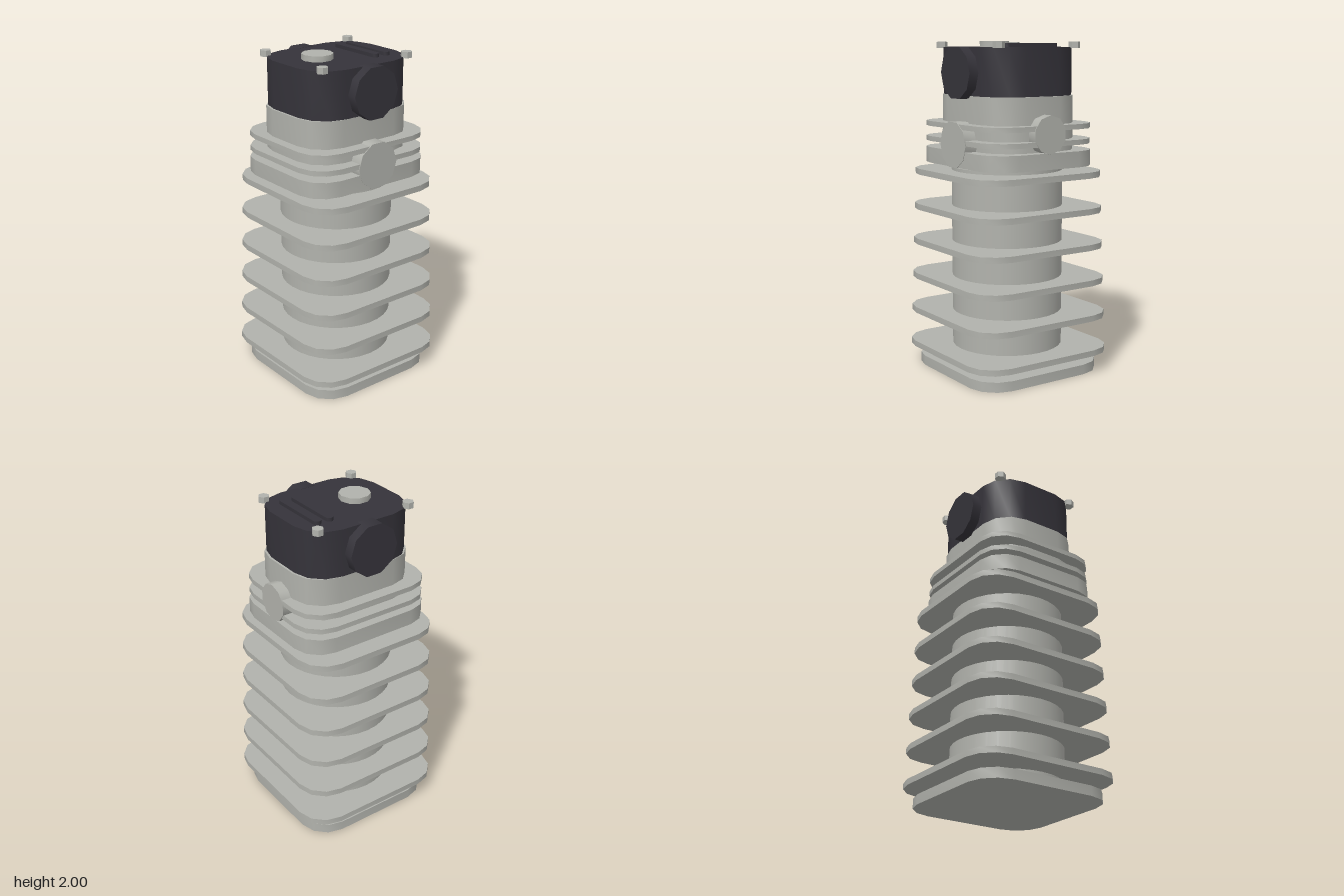
import * as THREE from 'three';
import { toCreasedNormals } from 'three/addons/utils/BufferGeometryUtils.js';

const metal = new THREE.MeshStandardMaterial({ color: 0xb1b2ac });
metal.name = 'light grey metal';
const dark = new THREE.MeshStandardMaterial({ color: 0x35333a });
dark.name = 'dark cover';

export function createModel() {
  const model = new THREE.Group();

  function add(name, geometry, material, x = 0, y = 0, z = 0) {
    const mesh = new THREE.Mesh(geometry, material);
    mesh.name = name;
    mesh.position.set(x, y, z);
    model.add(mesh);
    return mesh;
  }

  // Flat slab with rounded corners, lying between heights y0 and y1
  function slab(name, material, hw, hd, r, y0, y1, x = 0, steps = 3) {
    const pts = [];
    const corners = [[1, 1], [-1, 1], [-1, -1], [1, -1]];
    corners.forEach(([sx, sy], q) => {
      for (let i = 0; i <= steps; i++) {
        const a = (q + i / steps) * Math.PI / 2;
        pts.push(new THREE.Vector2(sx * (hw - r) + r * Math.cos(a), sy * (hd - r) + r * Math.sin(a)));
      }
    });
    const g = new THREE.ExtrudeGeometry(new THREE.Shape(pts), { depth: y1 - y0, bevelEnabled: false });
    g.rotateX(-Math.PI / 2);
    return add(name, toCreasedNormals(g, 0.7), material, x, y0, 0);
  }

  // Ten-sided disc, first corner pointing along +x when upright
  function disc(r, length) {
    return toCreasedNormals(new THREE.CylinderGeometry(r, r, length, 10).rotateY(Math.PI / 2), 0.75);
  }

  // Cylinder barrel with tapering stack of cooling fins
  slab('basePlate', metal, 0.441, 0.441, 0.18, 0, 0.06);
  add('barrel', new THREE.CylinderGeometry(0.337, 0.337, 1.195, 32), metal, 0, 0.6575, 0);
  for (let i = 0; i < 6; i++) {
    const h = 0.485 - i * 0.006;
    const y = 0.118 + i * 0.2162;
    slab('barrelFin', metal, h, h, 0.18, y, y + 0.036);
  }

  // Cylinder head with two fins
  slab('headBase', metal, 0.437, 0.384, 0.17, 1.27, 1.365);
  slab('headBody', metal, 0.374, 0.308, 0.19, 1.365, 1.685);
  for (const y of [1.402, 1.493]) slab('headFin', metal, 0.434, 0.382, 0.17, y, y + 0.03);

  // Exhaust boss on the front, intake port on the left
  add('frontPort', disc(0.14, 0.137).rotateX(Math.PI / 2), metal, 0, 1.4, 0.3185);
  add('sidePort', disc(0.113, 0.14).rotateZ(-Math.PI / 2), metal, 0.3685, 1.47, 0);

  // Dark valve cover with round caps on both ends
  slab('valveCover', dark, 0.361, 0.307, 0.19, 1.685, 1.966);
  for (const s of [-1, 1]) {
    add('coverCap', disc(0.157, 0.09).rotateX(Math.PI / 2), dark, 0, 1.818, s * 0.322);
  }

  // Fittings on the cover
  add('fillerCap', disc(0.093, 0.04), metal, -0.134, 1.98, 0);
  for (const x of [0.159, 0.239]) slab('coverRib', dark, 0.0235, 0.187, 0.0235, 1.96, 1.987, x);
  for (const x of [-0.306, 0.306]) {
    for (const z of [-0.268, 0.268]) {
      const hex = new THREE.CylinderGeometry(0.034, 0.034, 0.036, 6).rotateY(Math.PI / 6).toNonIndexed();
      hex.computeVertexNormals();
      add('coverBolt', hex, metal, x, 1.978, z);
    }
  }
  return model;
}
